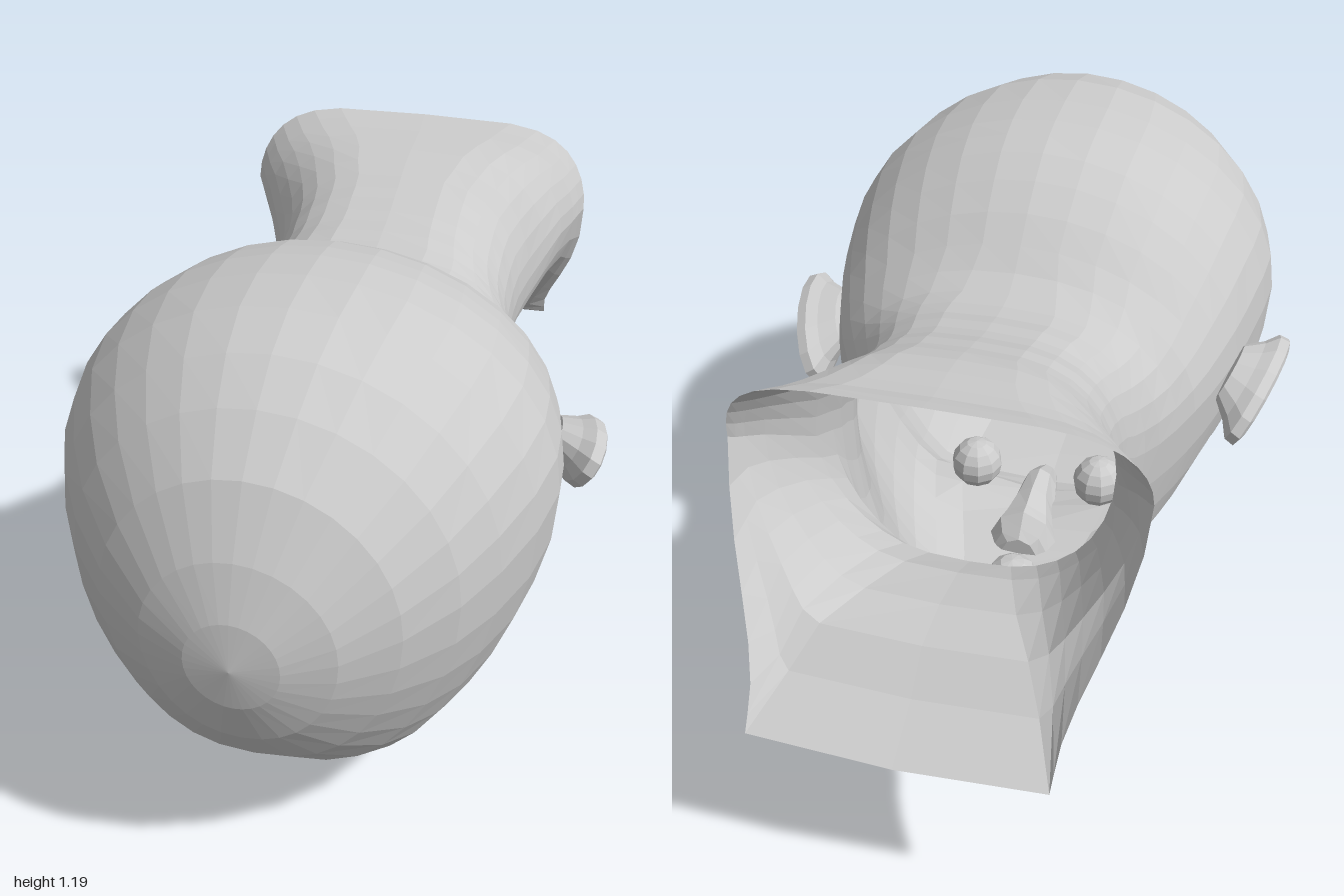
import * as THREE from 'three';

const material = new THREE.MeshStandardMaterial({ color: 0xcccccc, flatShading: true, side: THREE.DoubleSide });

function addMesh(parent, name, geometry) {
  const mesh = new THREE.Mesh(geometry, material);
  mesh.name = name;
  parent.add(mesh);
  return mesh;
}

// Loft of closed rings. Each station:
// [topZ, topY, sideZ, sideY, halfWidth, bottomZ, bottomY, topPower, bottomPower]
// A low bottomPower flattens the underside without widening the flanks.
function loft(stations, segments, shape = (p) => p) {
  const positions = [], index = [];
  for (const [tz, ty, sz, sy, w, bz, by, pt = 1, pb = 1] of stations) {
    for (let i = 0; i <= segments; i++) {
      const a = (i / segments) * Math.PI * 2;
      const c = Math.cos(a), s = Math.sin(a), k = Math.abs(c);
      const [ez, ey, power] = c > 0 ? [tz, ty, pt] : [bz, by, 1 - (1 - pb) * k ** 3];
      const x = Math.sign(s) * w * Math.pow(Math.abs(s), power);
      const p = shape(new THREE.Vector3(x, sy + (ey - sy) * k, sz + (ez - sz) * k ** 1.35), c);
      positions.push(p.x, p.y, p.z);
    }
  }
  const n = segments + 1;
  for (let r = 0; r < stations.length - 1; r++) {
    for (let i = 0; i < segments; i++) {
      const a = r * n + i, b = a + n;
      index.push(a, a + 1, b, a + 1, b + 1, b);
    }
  }
  const g = new THREE.BufferGeometry();
  g.setAttribute('position', new THREE.Float32BufferAttribute(positions, 3));
  g.setIndex(index);
  g.computeVertexNormals();
  return g;
}

// Skull: upright rings [z, topY, sideY, halfWidth, bottomY, bottomPower]
const skull = [
  [1.0, 0.66, 0.66, 0, 0.66, 1],
  [0.985, 0.76, 0.66, 0.095, 0.56, 1],
  [0.945, 0.87, 0.67, 0.195, 0.45, 0.95],
  [0.87, 1.0, 0.69, 0.3, 0.34, 0.85],
  [0.77, 1.09, 0.71, 0.39, 0.245, 0.7],
  [0.67, 1.15, 0.73, 0.45, 0.185, 0.6],
  [0.55, 1.185, 0.75, 0.5, 0.155, 0.5],
  [0.42, 1.19, 0.76, 0.525, 0.145, 0.5],
  [0.32, 1.185, 0.76, 0.52, 0.125, 0.5],
  [0.26, 1.175, 0.75, 0.51, 0.145, 0.5],
  [0.2, 1.16, 0.74, 0.5, 0.185, 0.5],
  [0.13, 1.125, 0.73, 0.485, 0.19, 0.55],
  [0.06, 1.08, 0.72, 0.465, 0.18, 0.6],
  [0.0, 1.03, 0.71, 0.445, 0.16, 0.65],
].map(([z, t, s, w, b, p]) => [z, t, z, s, w, z, b, 1, p]);

// Jaw, neck and collar: rings that tilt as the chin turns into the throat
const neck = [
  [-0.05, 0.99, -0.06, 0.7, 0.42, -0.06, 0.145, 0.9, 0.7],
  [-0.1, 0.965, -0.11, 0.68, 0.39, -0.11, 0.135, 0.8, 0.7],
  [-0.15, 0.965, -0.16, 0.67, 0.36, -0.16, 0.13, 0.7, 0.7],
  [-0.2, 0.97, -0.2, 0.67, 0.335, -0.21, 0.135, 0.65, 0.7],
  [-0.24, 0.98, -0.235, 0.68, 0.32, -0.26, 0.15, 0.65, 0.7],
  [-0.28, 0.985, -0.265, 0.7, 0.31, -0.31, 0.175, 0.65, 0.75],
  [-0.32, 0.995, -0.295, 0.71, 0.305, -0.36, 0.18, 0.65, 0.8],
  [-0.36, 1.01, -0.33, 0.73, 0.305, -0.39, 0.21, 0.65, 0.8],
  [-0.4, 1.02, -0.365, 0.74, 0.305, -0.395, 0.3, 0.65, 0.8],
  [-0.44, 1.035, -0.405, 0.76, 0.31, -0.39, 0.42, 0.65, 0.8],
  [-0.49, 1.05, -0.46, 0.78, 0.325, -0.44, 0.485, 0.6, 0.75],
  [-0.55, 1.06, -0.52, 0.82, 0.355, -0.53, 0.53, 0.6, 0.65],
  [-0.61, 1.065, -0.58, 0.86, 0.385, -0.66, 0.555, 0.55, 0.5],
  [-0.65, 1.07, -0.62, 0.88, 0.41, -0.78, 0.55, 0.5, 0.35],
  [-0.68, 1.08, -0.64, 0.89, 0.42, -0.86, 0.48, 0.45, 0.25],
  [-0.715, 1.09, -0.655, 0.9, 0.43, -0.985, 0.41, 0.4, 0.15],
];

// Eye sockets pressed into the face
function pressSockets(p, c) {
  if (c < 0) {
    const dx = (Math.abs(p.x) - 0.16) / 0.09, dz = (p.z - 0.17) / 0.07;
    p.y += 0.05 * Math.exp(-dx * dx - dz * dz);
  }
  return p;
}

// Nose: bridge to tip, then back under the nostrils
const nose = [
  [0.27, 0.22, 0.27, 0.18, 0.03, 0.27, 0.15],
  [0.2, 0.26, 0.2, 0.19, 0.045, 0.2, 0.12],
  [0.12, 0.26, 0.12, 0.15, 0.06, 0.12, 0.06],
  [0.06, 0.25, 0.06, 0.12, 0.085, 0.06, 0.01],
  [0.03, 0.25, 0.02, 0.11, 0.1, 0.035, 0.0],
  [0.0, 0.22, -0.01, 0.11, 0.08, 0.0, 0.03],
  [-0.02, 0.2, -0.02, 0.13, 0.05, -0.015, 0.09],
  [-0.02, 0.15, -0.02, 0.15, 0, -0.02, 0.15],
];

function makeEar() {
  // Bowl with a raised rim, flattened to an oval that leans out from the head
  const profile = [[0, 0], [0.5, 0], [0.72, 0.012], [0.86, 0.03], [1, 0.02], [0.98, -0.01], [0.75, -0.04], [0.5, -0.09], [0, -0.1]];
  const ear = new THREE.Group();
  const bowl = new THREE.LatheGeometry(profile.map(([r, h]) => new THREE.Vector2(r, h)), 14);
  const frame = new THREE.Matrix4().makeBasis(
    new THREE.Vector3(0.035, 0.05, 0.148),
    new THREE.Vector3(0.7, -0.4, 0),
    new THREE.Vector3(0.032, 0.066, -0.025));
  addMesh(ear, 'earShell', bowl.applyMatrix4(frame));
  // Inner fold
  const fold = new THREE.CatmullRomCurve3([[0.7, 0.01, -0.1], [0.2, 0.01, 0.45], [-0.3, 0.01, 0.4], [-0.65, 0.01, -0.1]]
    .map((p) => new THREE.Vector3(...p).applyMatrix4(frame)));
  addMesh(ear, 'earFold', new THREE.TubeGeometry(fold, 8, 0.012, 5));
  ear.position.set(0.535, 0.67, 0.11);
  return ear;
}

export function createModel() {
  const model = new THREE.Group();
  model.name = 'headAndNeck';

  addMesh(model, 'headAndNeckSkin', loft([...skull, ...neck], 32, pressSockets));
  addMesh(model, 'nose', loft(nose, 10));

  // Lips, and the ridge from the nose to the upper lip
  const mouth = [
    ['upperLip', -0.155, 0.14, 0.12, 0.065, 0.045],
    ['lowerLip', -0.22, 0.135, 0.1, 0.065, 0.04],
    ['philtrum', -0.08, 0.14, 0.06, 0.045, 0.06],
  ];
  for (const [name, z, y, ...size] of mouth) {
    const part = addMesh(model, name, new THREE.SphereGeometry(1, 10, 6));
    part.scale.set(...size);
    part.position.set(0, y, z);
  }

  // Ears and eyes, mirrored
  for (const side of [1, -1]) {
    const half = new THREE.Group();
    half.name = side > 0 ? 'leftSide' : 'rightSide';
    const ear = makeEar();
    ear.name = 'ear';
    half.add(ear);
    const eye = addMesh(half, 'eye', new THREE.SphereGeometry(0.065, 10, 8));
    eye.position.set(0.16, 0.275, 0.17);
    half.scale.x = side;
    model.add(half);
  }
  return model;
}
